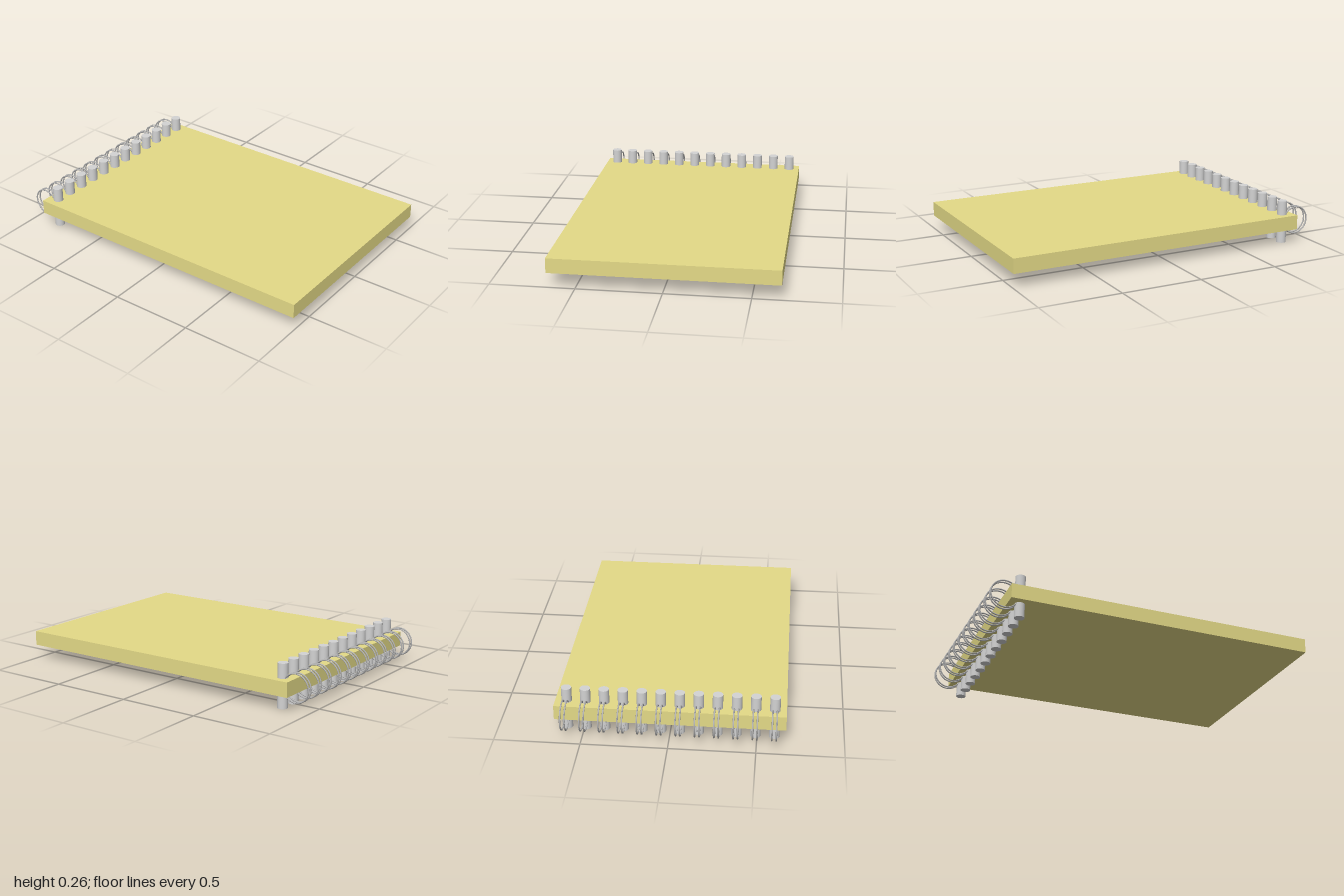
import * as THREE from 'three';

export function createModel() {
  const model = new THREE.Group();
  model.name = 'spiralNotebook';

  const material = (name, color) => {
    const m = new THREE.MeshStandardMaterial({ color });
    m.name = name;
    return m;
  };
  const paper = material('khaki paper', 0xe4da87);
  const silver = material('light silver', 0xd3d3d3);
  const wire = material('wire grey', 0xb4b4b4);

  const add = (name, geometry, mat, x, y, z) => {
    const mesh = new THREE.Mesh(geometry, mat);
    mesh.name = name;
    mesh.position.set(x, y, z);
    model.add(mesh);
  };

  // Solid block of pages
  const midY = 0.132;
  add('pageBlock', new THREE.BoxGeometry(1.89, 0.089, 1.332), paper, 0.055, midY, 0);

  // Binding: a row of pins, each with a pair of wire rings round the edge
  const pin = new THREE.CylinderGeometry(0.03, 0.03, 0.264, 32);
  const ring = new THREE.TorusGeometry(0.084, 0.0045, 8, 48);
  const count = 12;
  for (let i = 0; i < count; i++) {
    const z = -0.599 + (i * 1.198) / (count - 1);
    add('bindingPin', pin, silver, -0.82, midY, z);
    for (const side of [-1, 1]) {
      add('wireRing', ring, wire, -0.9115, midY, z + side * 0.0125);
    }
  }
  return model;
}
